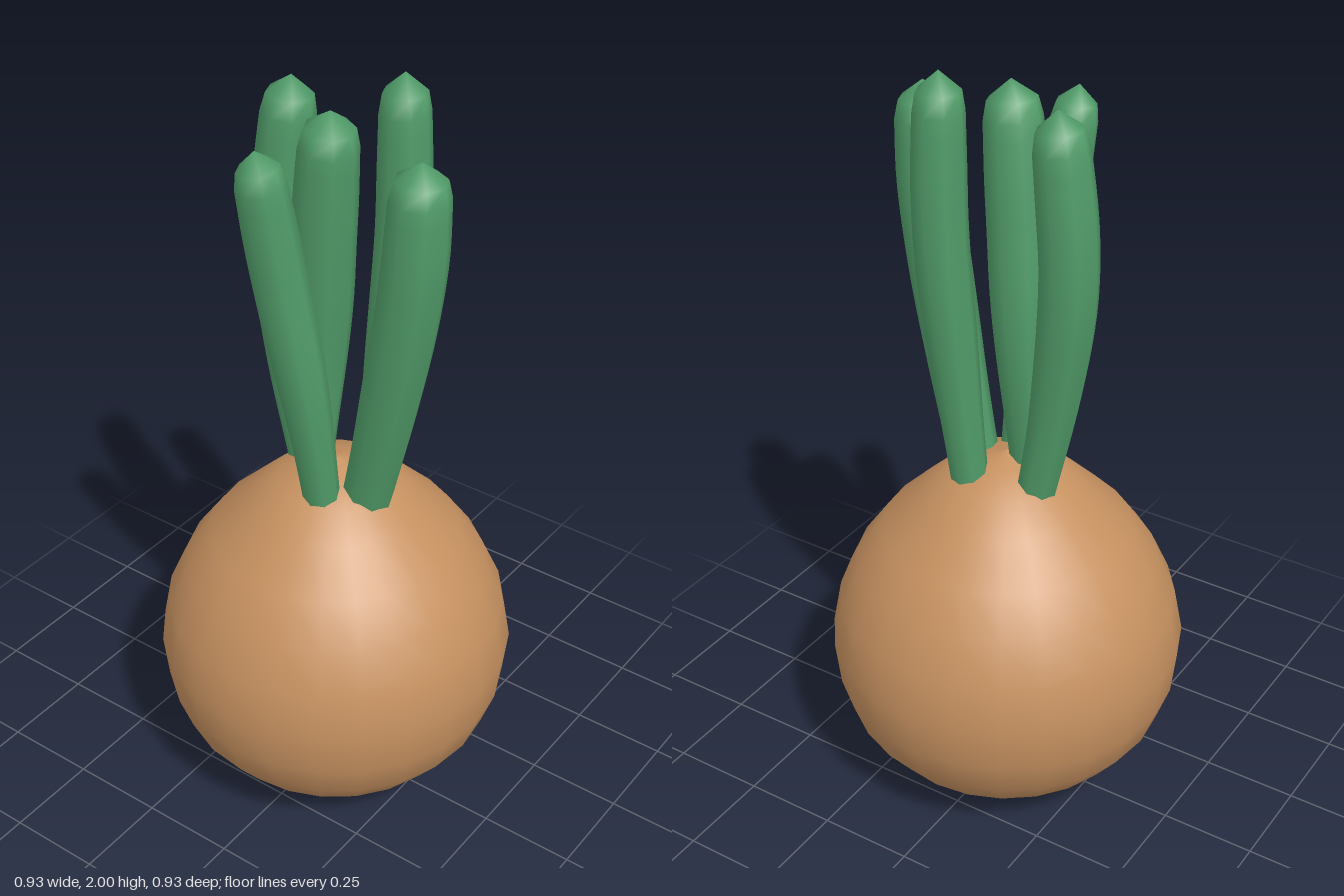
import * as THREE from 'three';
import { mergeVertices } from 'three/addons/utils/BufferGeometryUtils.js';

const bulbSkin = new THREE.MeshStandardMaterial({ color: 0xc69160 });
bulbSkin.name = 'bulb skin';
const leafGreen = new THREE.MeshStandardMaterial({ color: 0x519c69 });
leafGreen.name = 'leaf green';

// Round-tipped shoot: a tube whose rings swell from the base and close at the tip
function makeShoot(name, points, radius, baseScale) {
  const segments = 24, sides = 8;
  const curve = new THREE.CatmullRomCurve3(points.map((p) => new THREE.Vector3(...p)));
  const length = curve.getLength();
  let geo = new THREE.TubeGeometry(curve, segments, radius, sides, false);
  const pos = geo.attributes.position;
  const v = new THREE.Vector3();
  for (let i = 0; i <= segments; i++) {
    const t = i / segments;
    const centre = curve.getPointAt(t);
    const fromTip = Math.min((1 - t) * length / 0.09, 1);
    const cap = Math.sqrt(1 - (1 - fromTip) ** 2);
    const swell = THREE.MathUtils.lerp(baseScale, 1, THREE.MathUtils.smoothstep(t, 0, 0.6));
    const taper = 1 - 0.1 * THREE.MathUtils.smoothstep(t, 0.75, 1);
    for (let j = 0; j <= sides; j++) {
      const k = i * (sides + 1) + j;
      v.fromBufferAttribute(pos, k).sub(centre).multiplyScalar(swell * taper * cap).add(centre);
      pos.setXYZ(k, v.x, v.y, v.z);
    }
  }
  geo.deleteAttribute('uv');
  geo.deleteAttribute('normal');
  geo = mergeVertices(geo, 1e-4);
  geo.computeVertexNormals();
  const mesh = new THREE.Mesh(geo, leafGreen);
  mesh.name = name;
  return mesh;
}

export function createModel() {
  const model = new THREE.Group();
  model.name = 'sproutingBulb';

  // Round bulb drawn up to a low peak
  const profile = [
    [0, 0], [0.1, 0.008], [0.185, 0.028], [0.27, 0.066], [0.345, 0.13], [0.415, 0.22],
    [0.45, 0.32], [0.463, 0.44], [0.44, 0.56], [0.39, 0.67], [0.322, 0.765],
    [0.225, 0.86], [0.15, 0.93], [0.07, 0.962], [0, 0.985],
  ].map(([r, y]) => new THREE.Vector2(r, y));
  const bulb = new THREE.Mesh(new THREE.LatheGeometry(profile, 24), bulbSkin);
  bulb.name = 'bulb';
  model.add(bulb);

  // Five shoots, each rooted inside the bulb: name, path, radius, base scale
  const shoots = [
    ['frontShoot', [[-0.01, 0.84, 0.09], [-0.03, 1.2, 0.175], [-0.047, 1.6, 0.25], [-0.05, 1.892, 0.268]], 0.079, 0.82],
    ['rightShoot', [[-0.09, 0.84, 0.035], [-0.135, 1.2, 0.015], [-0.18, 1.6, -0.035], [-0.22, 1.892, -0.06]], 0.065, 0.7],
    ['backShoot', [[0.03, 0.84, -0.09], [0.035, 1.2, -0.16], [0.05, 1.55, -0.2], [0.06, 1.945, -0.17]], 0.073, 0.7],
    ['leftShoot', [[0.08, 0.84, 0.05], [0.1, 1.2, 0.08], [0.122, 1.6, 0.105], [0.12, 2, 0.105]], 0.067, 0.7],
    ['middleShoot', [[-0.035, 0.84, -0.045], [-0.01, 1.25, -0.04], [-0.03, 1.65, -0.01], [-0.047, 1.945, 0.02]], 0.078, 0.55],
  ];
  for (const shoot of shoots) model.add(makeShoot(...shoot));
  return model;
}
